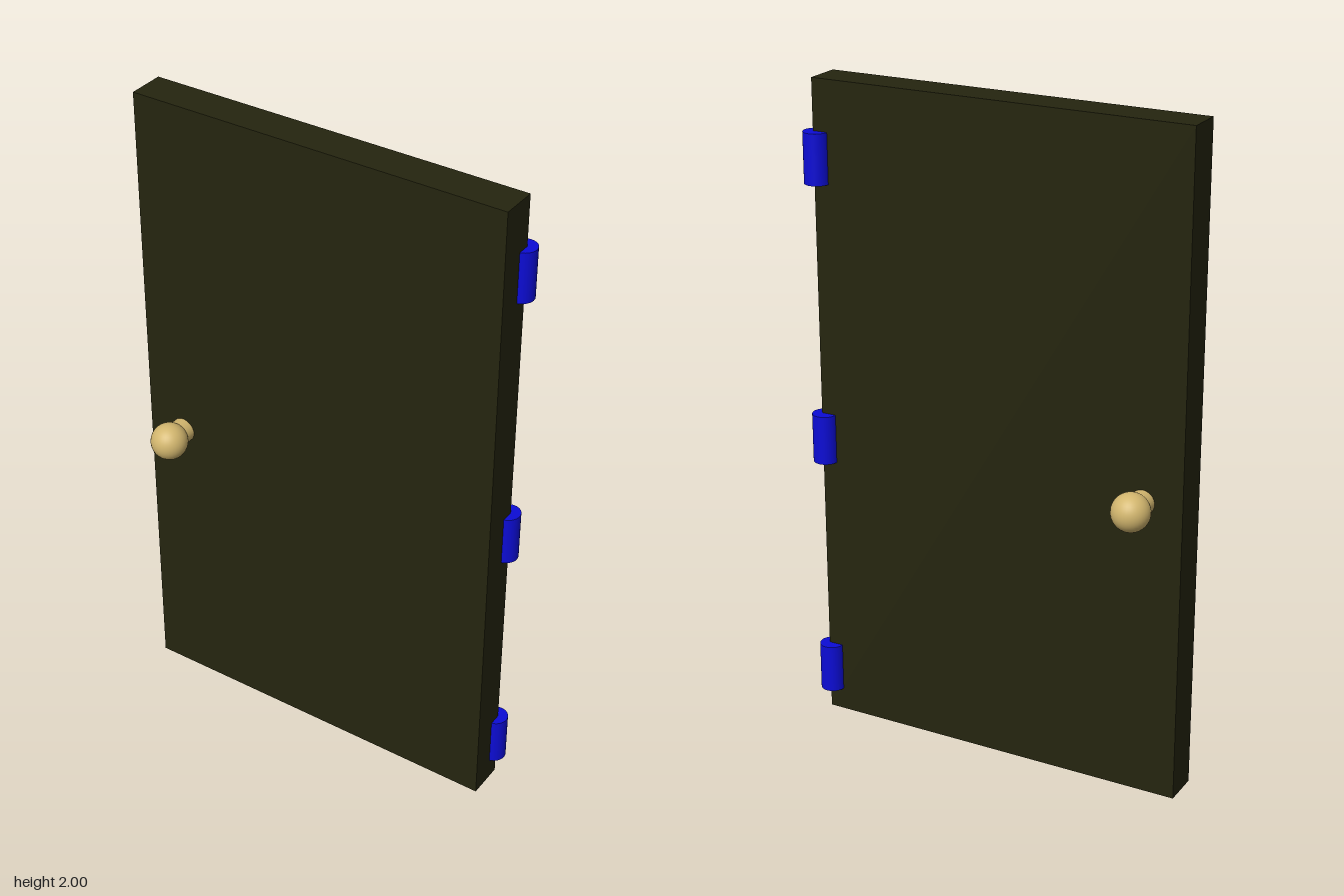
import * as THREE from 'three';

export function createModel() {
  const model = new THREE.Group();
  model.name = 'door';

  const material = (name, color) => {
    const m = new THREE.MeshStandardMaterial({ color });
    m.name = name;
    return m;
  };
  const darkWood = material('darkWood', 0x25250f);
  const brass = material('brass', 0xd2b66e);
  const blueMetal = material('blueMetal', 0x0c0cd6);

  const add = (parent, name, geometry, mat, x, y, z) => {
    const mesh = new THREE.Mesh(geometry, mat);
    mesh.name = name;
    mesh.position.set(x, y, z);
    parent.add(mesh);
    return mesh;
  };

  // Door slab
  add(model, 'doorPanel', new THREE.BoxGeometry(1.175, 2, 0.113), darkWood, -0.015, 1, 0.002);

  // Round knob on a short stem, one on each face
  const addKnob = (name, x, y, z, radius, stemRadius) => {
    const knob = new THREE.Group();
    knob.name = name;
    add(knob, 'knobBall', new THREE.SphereGeometry(radius, 32, 24), brass, x, y, z);
    const stem = new THREE.CylinderGeometry(stemRadius, stemRadius, Math.abs(z), 32);
    stem.rotateX(Math.PI / 2);
    add(knob, 'knobStem', stem, brass, x, y, z / 2);
    model.add(knob);
  };
  addKnob('frontKnob', -0.483, 0.922, 0.129, 0.056, 0.038);
  addKnob('backKnob', -0.48, 0.918, -0.131, 0.057, 0.037);

  // Hinge barrels along the back edge
  const barrel = new THREE.CylinderGeometry(0.038, 0.038, 0.152, 32);
  const hinges = new THREE.Group();
  hinges.name = 'hinges';
  for (const [name, y] of [['topHinge', 1.771], ['middleHinge', 0.913], ['bottomHinge', 0.146]]) {
    add(hinges, name, barrel, blueMetal, 0.564, y, -0.053);
  }
  model.add(hinges);

  return model;
}
